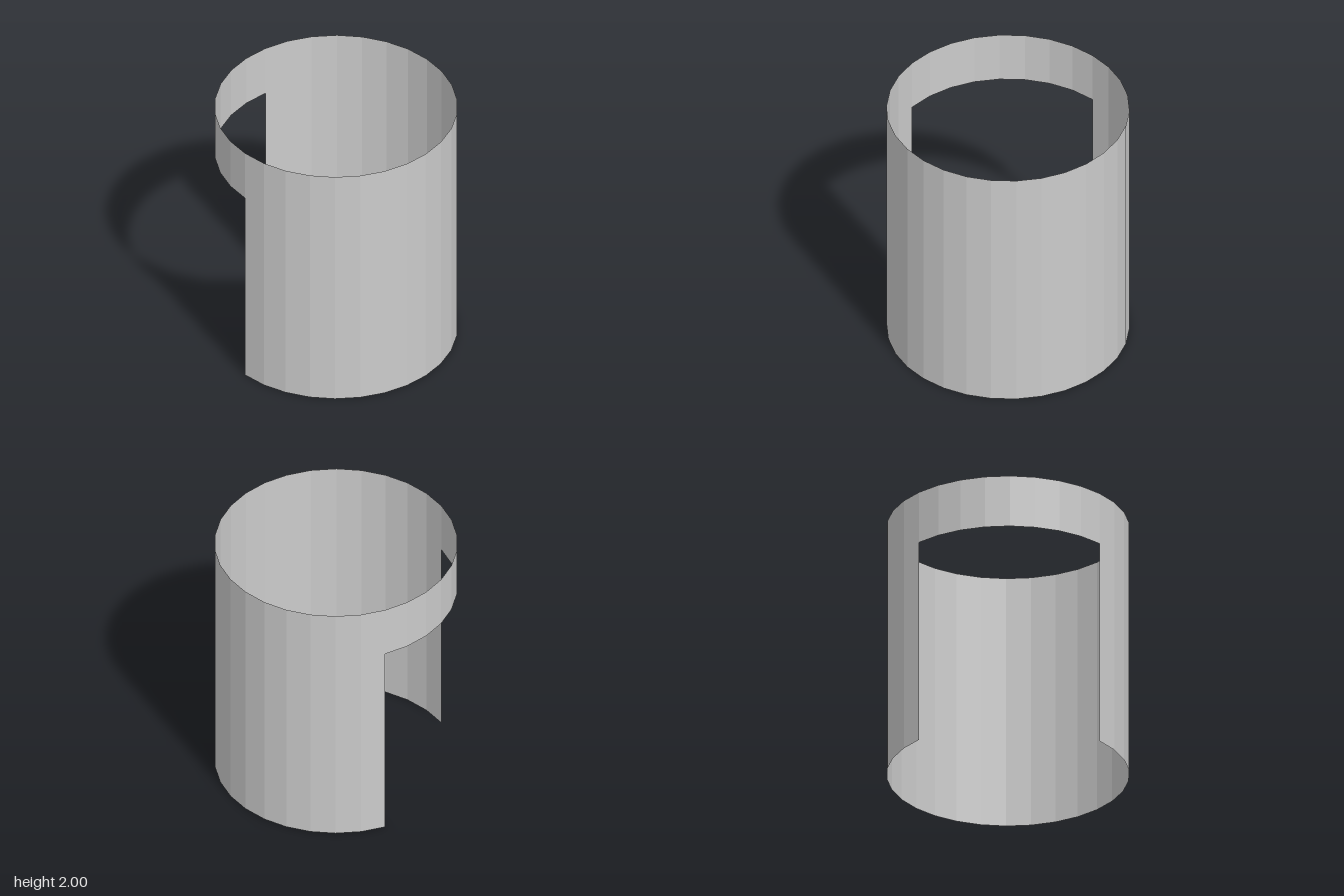
import * as THREE from 'three';

const RADIUS = 0.89;
const HEIGHT = 2;
const OPENING_TOP = 1.595;
const STEP = Math.PI / 15; // 30 facets around the full circle
const OPENING_FACETS = 8;

const material = new THREE.MeshStandardMaterial({
  color: 0xcccccc,
  flatShading: true,
  side: THREE.DoubleSide,
});

// Thin open-ended arc of the faceted tube between two heights
function arcWall(name, bottom, top, start, facets) {
  const geometry = new THREE.CylinderGeometry(
    RADIUS, RADIUS, top - bottom, facets, 1, true, start, facets * STEP);
  geometry.translate(0, (top + bottom) / 2, 0);
  const mesh = new THREE.Mesh(geometry, material);
  mesh.name = name;
  return mesh;
}

export function createModel() {
  const group = new THREE.Group();
  group.name = 'openSidedTube';

  // The opening is centred on the -x side
  const openingStart = 1.5 * Math.PI - (OPENING_FACETS / 2) * STEP;
  const openingEnd = openingStart + OPENING_FACETS * STEP;

  // Full-height wall around the rest of the tube
  group.add(arcWall('wall', 0, HEIGHT, openingEnd, 30 - OPENING_FACETS));
  // Band bridging the top of the opening
  group.add(arcWall('bandAboveOpening', OPENING_TOP, HEIGHT, openingStart, OPENING_FACETS));

  return group;
}
